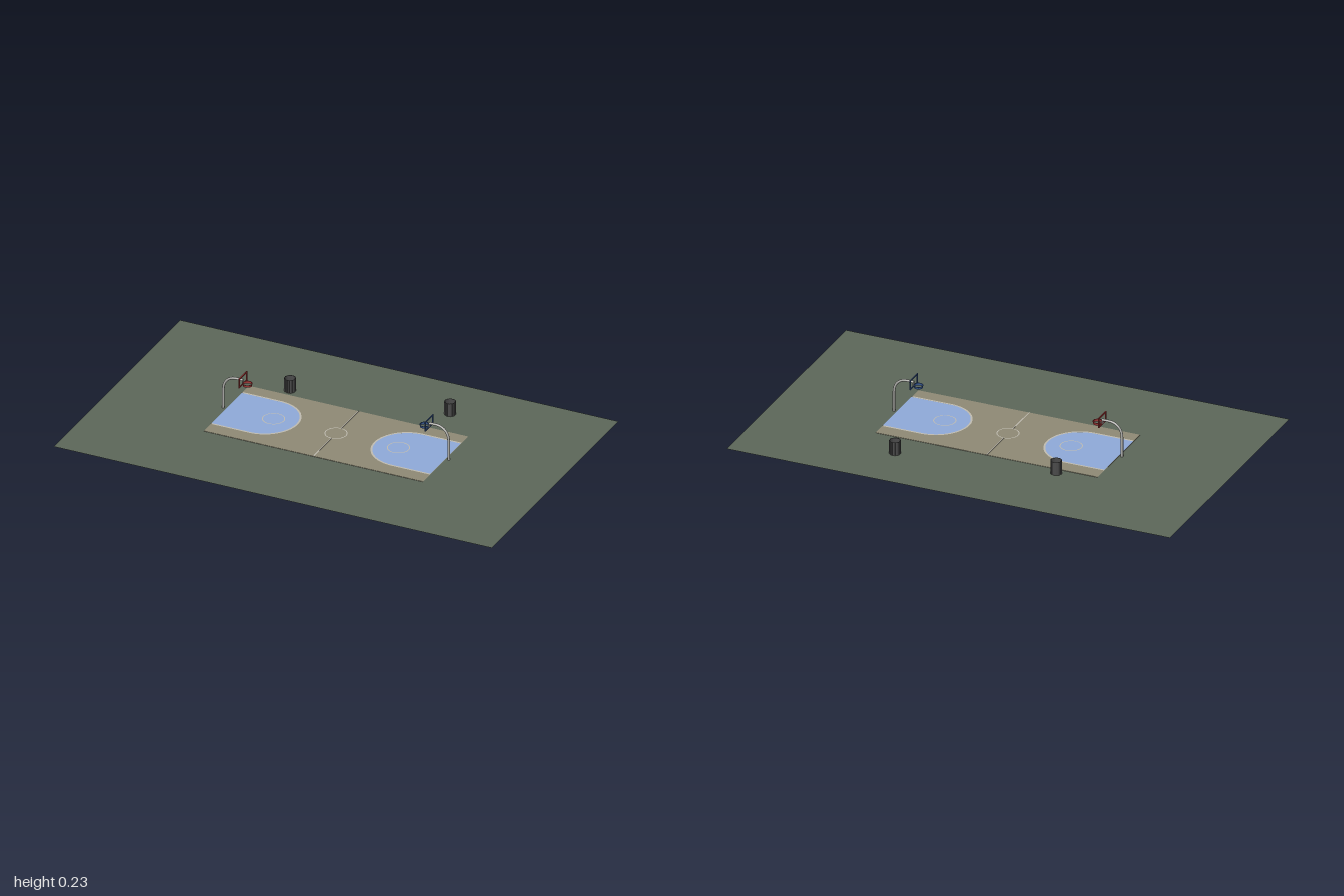
import * as THREE from 'three';

const COURT_Y = 0.057;

function mat(color, side = THREE.FrontSide, flatShading = false) {
  const m = new THREE.MeshStandardMaterial({ color, side });
  m.flatShading = flatShading;
  return m;
}

function add(parent, name, geometry, material, x = 0, y = 0, z = 0) {
  const mesh = new THREE.Mesh(geometry, material);
  mesh.name = name;
  mesh.position.set(x, y, z);
  parent.add(mesh);
  return mesh;
}

// D-shaped key outline: straight sides from the baseline, then a half circle
function traceKey(path, r) {
  path.moveTo(-0.5, -r);
  path.lineTo(-0.325, -r);
  path.absarc(-0.325, 0, r, -Math.PI / 2, Math.PI / 2, false);
  path.lineTo(-0.5, r);
  path.closePath();
  return path;
}

const flat = (geometry) => geometry.rotateX(-Math.PI / 2);

export function createModel() {
  const model = new THREE.Group();
  const ground = mat(0x5c6659, THREE.DoubleSide);
  const slab = mat(0x8e8974);
  const blue = mat(0x8ea9d8, THREE.DoubleSide);
  const paint = mat(0xbfbbb0, THREE.DoubleSide);
  const steel = mat(0xaaaaa6);
  const binMat = mat(0x4a4a4a, THREE.DoubleSide, true);

  // Ground sheet and the court slab set into it
  add(model, 'ground', flat(new THREE.PlaneGeometry(2, 1.2)), ground, 0, 0.0555, 0);
  add(model, 'courtSlab', new THREE.BoxGeometry(1, COURT_Y, 0.428), slab, 0, COURT_Y / 2, 0);

  // Centre circle and the two halves of the halfway line
  const circle = () => flat(new THREE.RingGeometry(0.044, 0.048, 48));
  add(model, 'centreCircle', circle(), paint, 0, COURT_Y + 0.002, 0);
  for (const s of [-1, 1]) {
    add(model, 'halfwayLine', new THREE.BoxGeometry(0.004, COURT_Y + 0.0015, 0.167), paint,
      0, (COURT_Y + 0.0015) / 2 - 0.0003, s * 0.1305);
  }

  // Painted keys with their borders, and a hoop at each end
  for (const s of [-1, 1]) {
    const end = new THREE.Group();
    end.name = s > 0 ? 'leftEnd' : 'rightEnd';
    if (s > 0) end.rotation.y = Math.PI;
    model.add(end);

    add(end, 'key', flat(new THREE.ShapeGeometry(traceKey(new THREE.Shape(), 0.144), 24)), blue, 0, COURT_Y + 0.0012, 0);
    const border = new THREE.Shape();
    border.moveTo(-0.5, -0.151);
    border.lineTo(-0.325, -0.151);
    border.absarc(-0.325, 0, 0.151, -Math.PI / 2, Math.PI / 2, false);
    border.lineTo(-0.5, 0.151);
    border.lineTo(-0.5, 0.143);
    border.lineTo(-0.325, 0.143);
    border.absarc(-0.325, 0, 0.143, Math.PI / 2, -Math.PI / 2, true);
    border.lineTo(-0.5, -0.143);
    add(end, 'keyBorder', flat(new THREE.ShapeGeometry(border, 24)), paint, 0, COURT_Y + 0.002, 0);
    add(end, 'freeThrowCircle', circle(), paint, -0.285, COURT_Y + 0.0025, 0);
    end.add(makeHoop(steel, mat(s > 0 ? 0x35558c : 0x9c3434, THREE.DoubleSide)));
  }

  // Two open litter bins beside the court
  for (const [x, z] of [[-0.33, -0.25], [0.35, -0.355]]) {
    const bin = new THREE.Group();
    bin.name = 'litterBin';
    bin.position.set(x, COURT_Y, z);
    model.add(bin);
    add(bin, 'binWall', new THREE.CylinderGeometry(0.022, 0.022, 0.06, 16, 1, true), binMat, 0, 0.03, 0);
    for (let i = 0; i < 16; i++) {
      const a = (i + 0.5) / 16 * Math.PI * 2;
      const slat = add(bin, 'binSlat', new THREE.BoxGeometry(0.0055, 0.06, 0.002), binMat,
        Math.sin(a) * 0.0228, 0.03, Math.cos(a) * 0.0228);
      slat.rotation.y = a;
    }
  }
  return model;
}

// Gooseneck pole, framed backboard and rim at the -x end
function makeHoop(steel, accent) {
  const hoop = new THREE.Group();
  hoop.name = 'hoop';
  const path = new THREE.CurvePath();
  const v = (x, y) => new THREE.Vector3(x, y, 0);
  path.add(new THREE.LineCurve3(v(-0.514, COURT_Y), v(-0.514, 0.145)));
  path.add(new THREE.CubicBezierCurve3(v(-0.514, 0.145), v(-0.514, 0.183), v(-0.49, 0.208), v(-0.455, 0.208)));
  path.add(new THREE.LineCurve3(v(-0.455, 0.208), v(-0.425, 0.208)));
  add(hoop, 'pole', new THREE.TubeGeometry(path, 40, 0.0055, 10), steel);

  // Open rectangular backboard frame
  const frame = new THREE.Shape();
  frame.moveTo(-0.038, 0.187).lineTo(0.038, 0.187).lineTo(0.038, 0.231).lineTo(-0.038, 0.231);
  const hole = new THREE.Path();
  hole.moveTo(-0.033, 0.192).lineTo(-0.033, 0.226).lineTo(0.033, 0.226).lineTo(0.033, 0.192);
  frame.holes.push(hole);
  const board = new THREE.ExtrudeGeometry(frame, { depth: 0.004, bevelEnabled: false });
  board.rotateY(Math.PI / 2);
  add(hoop, 'backboardFrame', board, accent, -0.427, 0, 0);

  // Upright joining the pole to the lower frame bar
  add(hoop, 'frameBrace', new THREE.BoxGeometry(0.004, 0.022, 0.008), steel, -0.426, 0.201, 0);
  add(hoop, 'rim', new THREE.CylinderGeometry(0.02, 0.019, 0.011, 24, 1, true), accent, -0.404, 0.1925, 0);
  const lip = add(hoop, 'rimLip', new THREE.TorusGeometry(0.02, 0.0015, 6, 24), accent, -0.404, 0.197, 0);
  lip.rotation.x = Math.PI / 2;
  return hoop;
}
